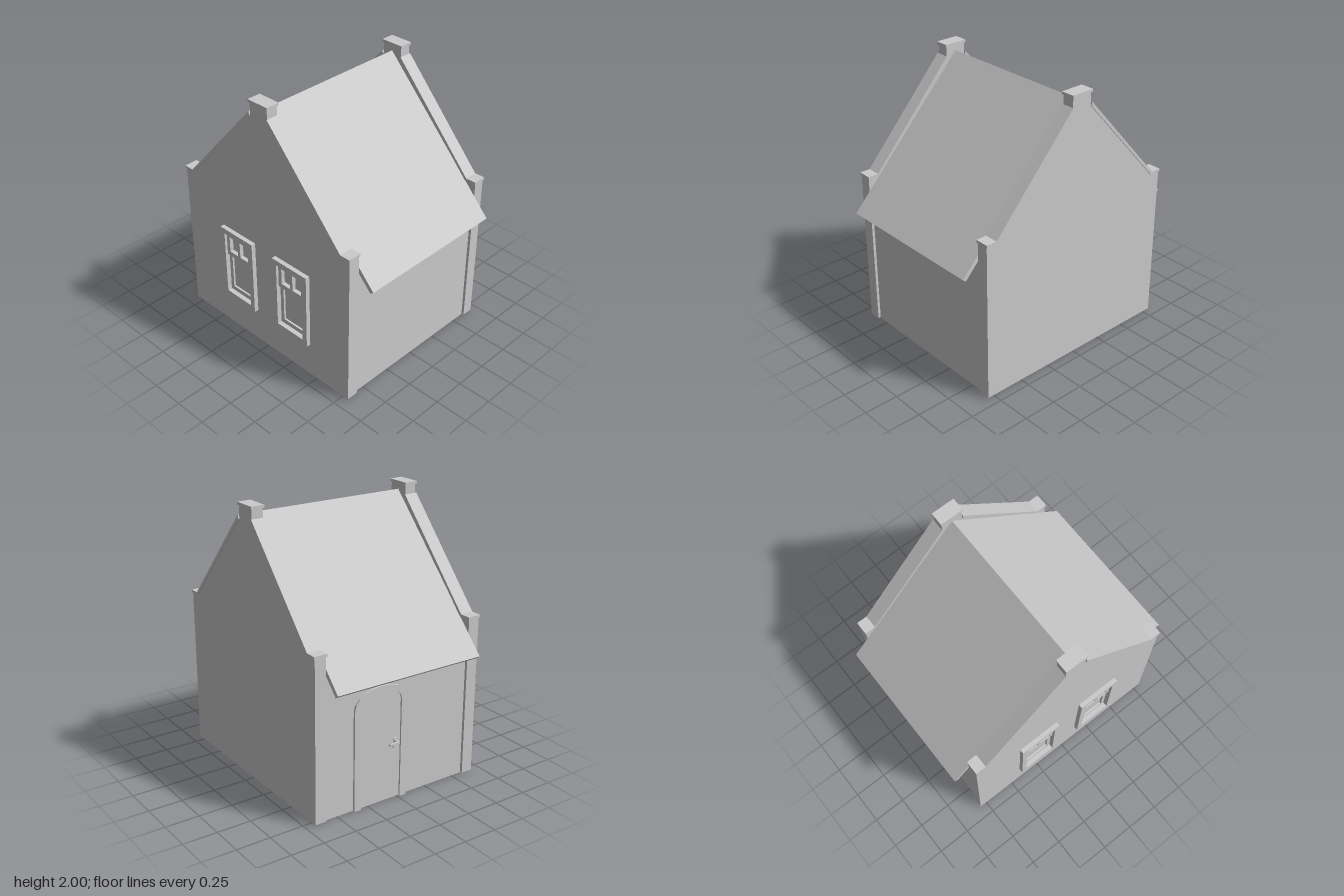
import * as THREE from 'three';

const mat = new THREE.MeshStandardMaterial({ color: 0xcccccc, flatShading: true });

const toShape = (pts) => new THREE.Shape(pts.map(([a, b]) => new THREE.Vector2(a, b)));
const rect = (a0, a1, y0, y1) => [[a0, y0], [a1, y0], [a1, y1], [a0, y1]];
// Right half of a symmetric outline, listed from bottom to top, closed by its mirror image
const mirrored = (half) => [...half, ...half.map(([z, y]) => [-z, y]).reverse()];

function add(parent, name, geometry) {
  const mesh = new THREE.Mesh(geometry, mat);
  mesh.name = name;
  parent.add(mesh);
  return mesh;
}

function addBox(parent, name, x0, x1, y0, y1, z0, z1) {
  const g = new THREE.BoxGeometry(x1 - x0, y1 - y0, z1 - z0);
  g.translate((x0 + x1) / 2, (y0 + y1) / 2, (z0 + z1) / 2);
  return add(parent, name, g);
}

// Extrude an outline given as (z, y) points from x0 to x1
function addProfile(parent, name, pts, x0, x1, holes = []) {
  const shape = toShape(pts);
  shape.holes = holes.map(toShape);
  const g = new THREE.ExtrudeGeometry(shape, { depth: x1 - x0, bevelEnabled: false });
  g.rotateY(-Math.PI / 2);
  g.translate(x1, 0, 0);
  return add(parent, name, g);
}

// Window openings in the left gable, by centre z
const WINDOWS = [-0.26, 0.275];
const opening = (zc) => rect(zc - 0.125, zc + 0.125, 0.32, 0.83);

function addGable(parent, name, x0, x1, holes) {
  const gable = new THREE.Group();
  gable.name = name;
  parent.add(gable);
  addProfile(gable, 'gableWall', mirrored([
    [0.805, 0.01], [0.805, 1.185], [0.725, 1.185], [0.08, 1.895], [0.08, 1.985],
  ]), x0, x1, holes);
  // Sloping coping with a flat shoulder at each end
  for (const s of [1, -1]) {
    const half = [[0.81, 1.18], [0.81, 1.2], [0.73, 1.2], [0.085, 1.915], [0.08, 1.885], [0.72, 1.18]];
    addProfile(gable, 'coping', half.map(([z, y]) => [s * z, y]), x0 - 0.008, x1 + 0.008);
  }
  addBox(gable, 'topCap', x0 - 0.008, x1 + 0.008, 1.98, 2.0, -0.088, 0.088);
}

function addWindow(parent, zc) {
  const win = new THREE.Group();
  win.name = 'window';
  parent.add(win);
  addProfile(win, 'windowFrame', rect(zc - 0.165, zc + 0.165, 0.28, 0.87), -0.7, -0.66, [opening(zc)]);
  // Lower sash with one large pane
  addProfile(win, 'lowerSash', rect(zc - 0.125, zc + 0.125, 0.32, 0.66), -0.665, -0.635,
    [rect(zc - 0.095, zc + 0.095, 0.355, 0.63)]);
  // Upper sash with two small panes
  addProfile(win, 'upperSash', rect(zc - 0.125, zc + 0.125, 0.64, 0.83), -0.68, -0.635,
    [rect(zc - 0.095, zc - 0.012, 0.675, 0.8), rect(zc + 0.012, zc + 0.095, 0.675, 0.8)]);
  addBox(win, 'windowPane', -0.65, -0.64, 0.32, 0.83, zc - 0.125, zc + 0.125);
}

// Outline of a door-shaped opening with a shallow arched top
function archPoints(r, rise, y0) {
  const pts = [[-r, y0], [r, y0]];
  for (let i = 0; i <= 10; i++) {
    const t = (i / 10) * Math.PI;
    pts.push([r * Math.cos(t), 0.74 + rise * Math.sin(t)]);
  }
  return pts;
}

function addDoor(parent) {
  const door = new THREE.Group();
  door.name = 'door';
  door.position.x = 0.15;
  parent.add(door);
  const slab = (name, pts, z0, z1) => {
    const g = new THREE.ExtrudeGeometry(toShape(pts), { depth: z1 - z0, bevelEnabled: false });
    g.translate(0, 0, z0);
    add(door, name, g);
  };
  // Frame runs up one side, over the arch and down the other
  const outer = archPoints(0.22, 0.13, 0).slice(1);
  const inner = archPoints(0.165, 0.095, 0).slice(1);
  slab('doorFrame', [...outer, [-0.22, 0], [-0.165, 0], ...inner.reverse()], -0.8, -0.74);
  slab('doorLeaf', archPoints(0.17, 0.1, 0.005), -0.788, -0.75);
  // Handle plate, stem and lever
  addBox(door, 'handlePlate', -0.135, -0.105, 0.385, 0.46, -0.797, -0.785);
  addBox(door, 'handleStem', -0.127, -0.113, 0.43, 0.444, -0.84, -0.79);
  addBox(door, 'handleLever', -0.127, -0.045, 0.43, 0.444, -0.84, -0.826);
}

export function createModel() {
  const house = new THREE.Group();
  house.name = 'house';

  // Main body, closed under the roof
  addProfile(house, 'body', mirrored([[0.785, 0.005], [0.785, 1.06], [0, 1.89]]).filter((p, i) => i !== 3),
    -0.58, 0.6);

  // Gable walls rising above the roof
  addGable(house, 'rightGable', -0.667, -0.58, WINDOWS.map(opening));
  addGable(house, 'leftGable', 0.6, 0.685, []);

  // Roof slabs with overhanging eaves
  addProfile(house, 'roof', [
    [0.93, 0.955], [0, 1.94], [-0.93, 0.955], [-0.905, 0.935], [0, 1.885], [0.905, 0.935],
  ], -0.577, 0.597);

  WINDOWS.forEach((zc) => addWindow(house, zc));
  addDoor(house);
  return house;
}
